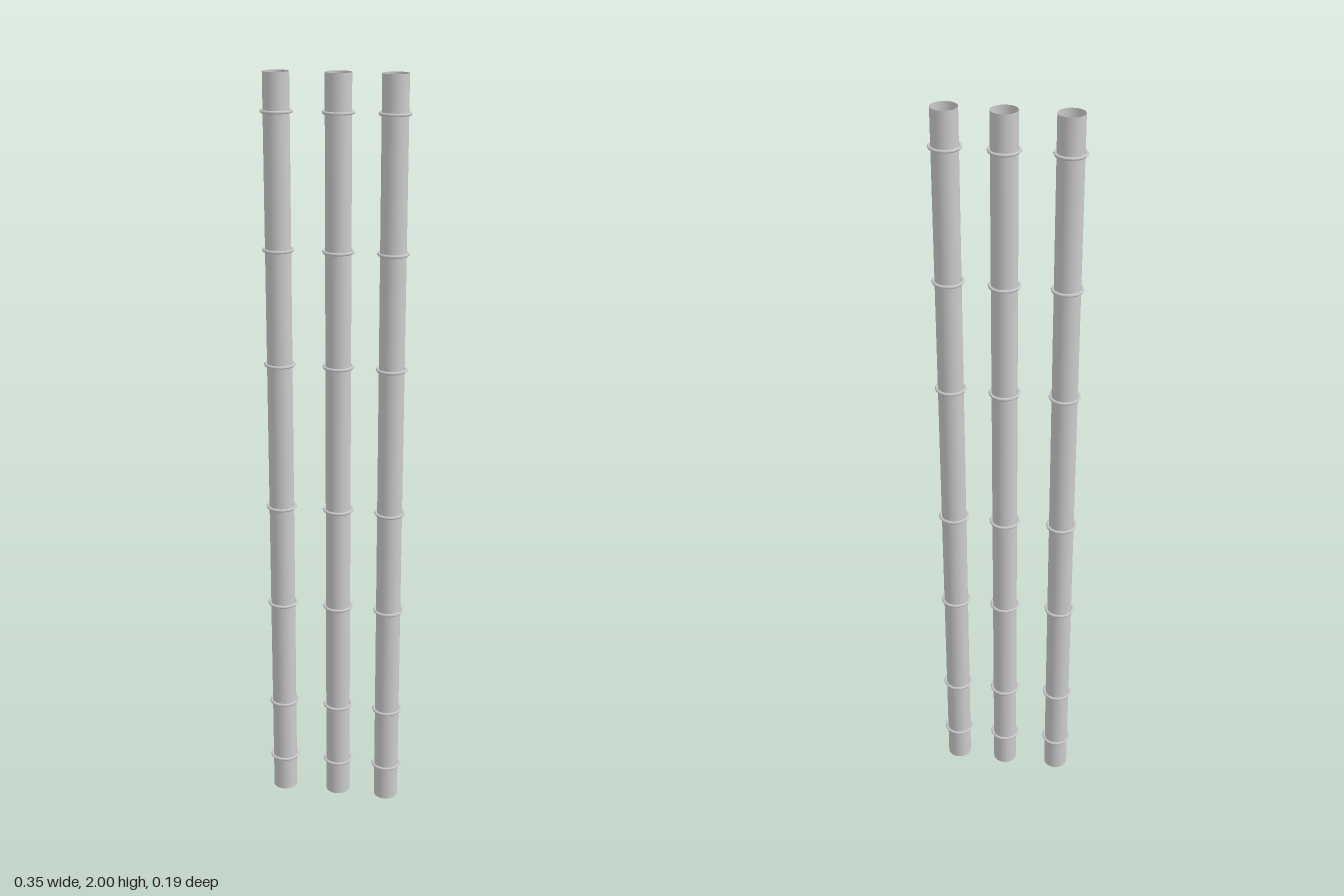
import * as THREE from 'three';

const HEIGHT = 2;
const RADIUS = 0.033;
const POLES = [[-0.137, 0.053], [0.004, -0.006], [0.134, -0.055]];
const NODES = [0.1, 0.277, 0.584, 0.87, 1.267, 1.566, 1.906];

export function createModel() {
  const group = new THREE.Group();
  group.name = 'bamboo';
  const material = new THREE.MeshStandardMaterial({ color: 0xcccccc, side: THREE.DoubleSide });

  // Hollow stalk, open at both ends
  const stalkGeometry = new THREE.CylinderGeometry(RADIUS, RADIUS, HEIGHT, 24, 1, true);
  stalkGeometry.translate(0, HEIGHT / 2, 0);

  // Thin ring around each joint
  const ringGeometry = new THREE.TorusGeometry(0.037, 0.0042, 6, 14);
  ringGeometry.rotateX(Math.PI / 2);

  POLES.forEach(([x, z], i) => {
    const pole = new THREE.Group();
    pole.name = `pole${i + 1}`;
    pole.position.set(x, 0, z);

    const stalk = new THREE.Mesh(stalkGeometry, material);
    stalk.name = 'stalk';
    pole.add(stalk);

    NODES.forEach((y, j) => {
      const ring = new THREE.Mesh(ringGeometry, material);
      ring.name = `jointRing${j + 1}`;
      ring.position.y = y;
      pole.add(ring);
    });
    group.add(pole);
  });
  return group;
}
